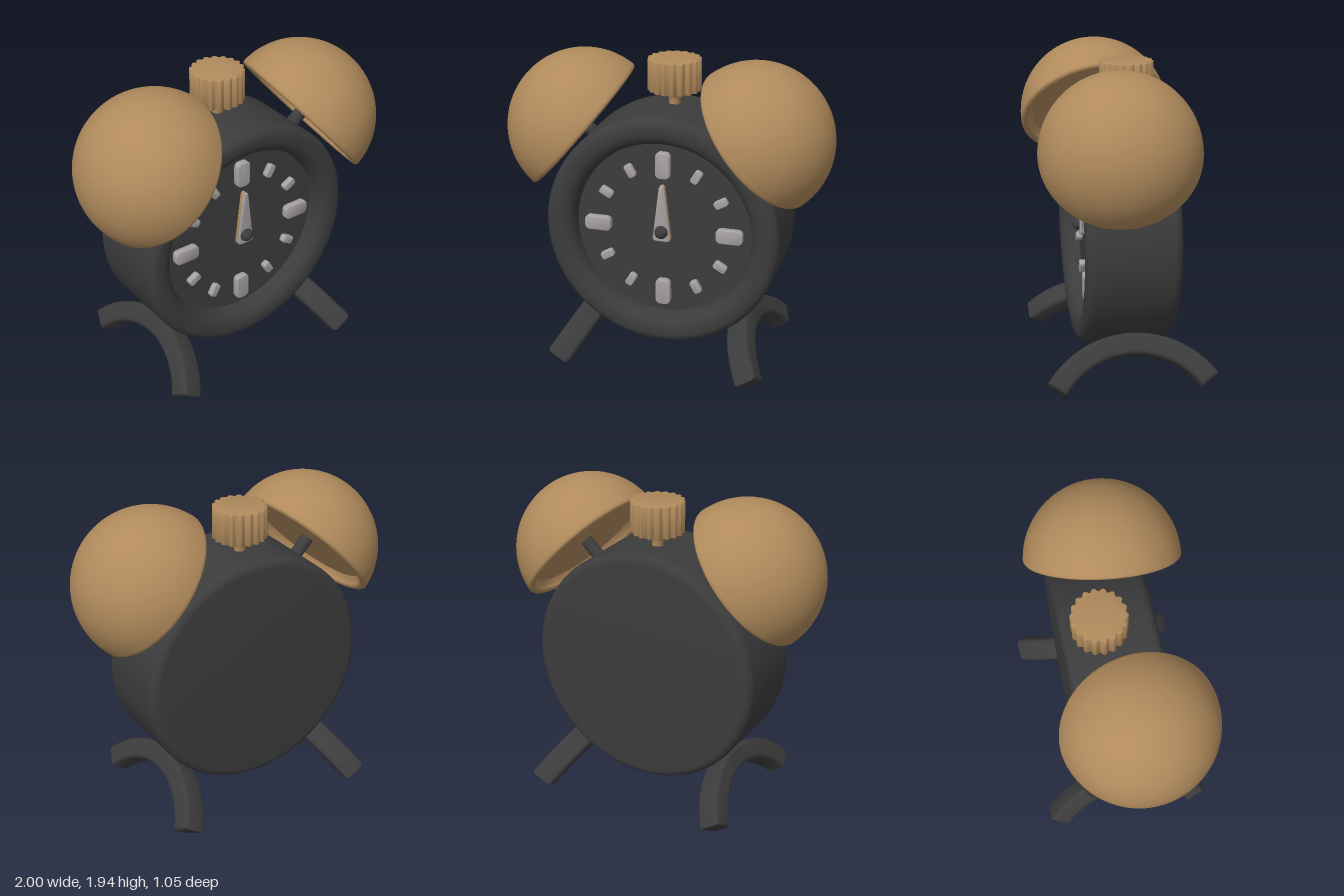
import * as THREE from 'three';
import { toCreasedNormals } from 'three/addons/utils/BufferGeometryUtils.js';

const mat = (color) => new THREE.MeshStandardMaterial({ color });
const dark = mat(0x3c3c3c), brass = mat(0xb08a5c), pale = mat(0xa8a2a2);
const CY = 0.888; // height of the dial centre
const FLOOR = 0.17; // z of the dial face

function part(name, geometry, material, parent) {
  const mesh = new THREE.Mesh(geometry, material);
  mesh.name = name;
  parent.add(mesh);
  return mesh;
}

// Points on an elliptical arc, angles in degrees
function arc(cx, cy, rx, ry, a0, a1, n) {
  return Array.from({ length: n + 1 }, (_, i) => {
    const a = THREE.MathUtils.degToRad(a0 + ((a1 - a0) * i) / n);
    return new THREE.Vector2(cx + rx * Math.cos(a), cy + ry * Math.sin(a));
  });
}

const v2 = (x, y) => new THREE.Vector2(x, y);
const lathe = (points, segments, crease = 0.6) =>
  toCreasedNormals(new THREE.LatheGeometry(points, segments), crease);

// Bevelled plate; the finished thickness is depth, starting at z = 0
function plate(shape, depth, bevel, curveSegments = 6) {
  const g = new THREE.ExtrudeGeometry(shape, {
    depth: depth - 2 * bevel, bevelEnabled: true, bevelThickness: bevel, bevelSize: bevel,
    bevelOffset: -bevel, bevelSegments: 4, curveSegments,
  });
  g.translate(0, 0, bevel);
  return toCreasedNormals(g, 0.7);
}

function roundedRect(w, h, r) {
  const x = w / 2 - r, y = h / 2 - r;
  return new THREE.Shape([
    ...arc(x, y, r, r, 0, 90, 5), ...arc(-x, y, r, r, 90, 180, 5),
    ...arc(-x, -y, r, r, 180, 270, 5), ...arc(x, -y, r, r, 270, 360, 5),
  ]);
}

function addBody(root) {
  const profile = [
    v2(0, -0.283),
    ...arc(0.672, -0.225, 0.055, 0.055, -90, 0, 8),
    ...arc(0.667, 0.222, 0.06, 0.06, 0, 90, 8),
    ...arc(0.645, 0.202, 0.09, 0.08, 90, 180, 10),
    v2(0.55, FLOOR), v2(0, FLOOR),
  ];
  const body = part('body', lathe(profile, 96), dark, root);
  body.rotation.x = Math.PI / 2;
  body.position.y = CY;
}

function addDial(root) {
  const dial = new THREE.Group();
  dial.name = 'dial';
  dial.position.set(0, CY, FLOOR);
  root.add(dial);

  // Hour markers, larger at the quarters
  const big = plate(roundedRect(0.092, 0.166, 0.03), 0.045, 0.008);
  const small = plate(roundedRect(0.05, 0.085, 0.016), 0.04, 0.007);
  for (let i = 0; i < 12; i++) {
    const a = (i * Math.PI) / 6;
    const quarter = i % 3 === 0;
    const marker = part('hourMarker', quarter ? big : small, pale, dial);
    marker.position.set(0.413 * Math.sin(a), 0.413 * Math.cos(a), -0.003);
    marker.rotation.z = -a;
  }

  // Two tapered hands, one above the other
  const hand = new THREE.Shape([
    ...arc(0, 0.28, 0.016, 0.016, 0, 180, 6),
    ...arc(-0.035, -0.043, 0.02, 0.02, 180, 270, 4),
    ...arc(0.035, -0.043, 0.02, 0.02, 270, 360, 4),
  ]);
  const handGeometry = plate(hand, 0.018, 0.004);
  part('lowerHand', handGeometry, brass, dial).position.z = 0.025;
  part('upperHand', handGeometry, pale, dial).position.z = 0.046;

  const pin = part('handPin', new THREE.CylinderGeometry(0.025, 0.025, 0.07, 24), dark, dial);
  pin.rotation.x = Math.PI / 2;
  pin.position.z = 0.033;
  part('handCap', new THREE.SphereGeometry(0.041, 24, 16), dark, dial).position.z = 0.065;
}

function addBell(root, side) {
  // Dome with a rounded lip and a recessed underside
  const profile = [
    v2(0, 0.055), v2(0.39, 0.055), v2(0.415, 0.03),
    ...arc(0.445, 0.02, 0.025, 0.02, 180, 360, 8),
    ...arc(0, 0, 0.47, 0.47, 4, 90, 28),
  ];
  const bell = new THREE.Group();
  bell.name = side > 0 ? 'leftBell' : 'rightBell';
  bell.position.set(0.53 * side, 1.467, 0.06);
  const axis = new THREE.Vector3(0.757 * side, 0.654, 0.11).normalize();
  bell.quaternion.setFromUnitVectors(new THREE.Vector3(0, 1, 0), axis);
  root.add(bell);
  part('dome', lathe(profile, 72), brass, bell);
  // Short post hidden between bell and body
  part('bellPost', new THREE.CylinderGeometry(0.04, 0.04, 0.16, 24), dark, bell).position.y = -0.01;
}

function addLeg(root, side) {
  // Arched foot, swept in a plane that leans outwards
  const R = 0.555, half = 0.065, width = 0.148;
  const shape = new THREE.Shape([
    ...arc(0, -R, R + half, R + half, 34, 146, 32),
    ...arc(0, -R, R - half, R - half, 146, 34, 32),
  ]);
  const geometry = plate(shape, width, 0.026);
  geometry.translate(0, 0, -width / 2);
  const u = new THREE.Vector3(0, 0, 1);
  const v = new THREE.Vector3(-0.53 * side, 0.848, 0).normalize();
  const w = new THREE.Vector3().crossVectors(u, v);
  const leg = part(side > 0 ? 'leftLeg' : 'rightLeg', geometry, dark, root);
  leg.quaternion.setFromRotationMatrix(new THREE.Matrix4().makeBasis(u, v, w));
  leg.position.set(0.48 * side, 0.266, -0.008);
}

function addKnob(root) {
  const knob = new THREE.Group();
  knob.name = 'windingKnob';
  knob.position.z = -0.06;
  root.add(knob);

  // Fluted grip
  const teeth = 18, steps = teeth * 10, outline = [];
  for (let i = 0; i < steps; i++) {
    const a = (i / steps) * Math.PI * 2;
    const r = 0.163 - 0.018 * Math.pow(0.5 - 0.5 * Math.cos(a * teeth), 1.5);
    outline.push(v2(r * Math.cos(a), r * Math.sin(a)));
  }
  const grip = part('knobGrip', plate(new THREE.Shape(outline), 0.197, 0.005), brass, knob);
  grip.rotation.x = -Math.PI / 2;
  grip.position.y = 1.698;

  // Flared stem
  const stem = [v2(0, 1.56), v2(0.034, 1.56), v2(0.034, 1.645), v2(0.04, 1.665),
    v2(0.055, 1.682), v2(0.072, 1.69), v2(0.072, 1.702), v2(0, 1.702)];
  part('knobStem', lathe(stem, 32), brass, knob);
}

export function createModel() {
  const clock = new THREE.Group();
  clock.name = 'alarmClock';
  addBody(clock);
  addDial(clock);
  addKnob(clock);
  for (const side of [-1, 1]) {
    addBell(clock, side);
    addLeg(clock, side);
  }
  return clock;
}
